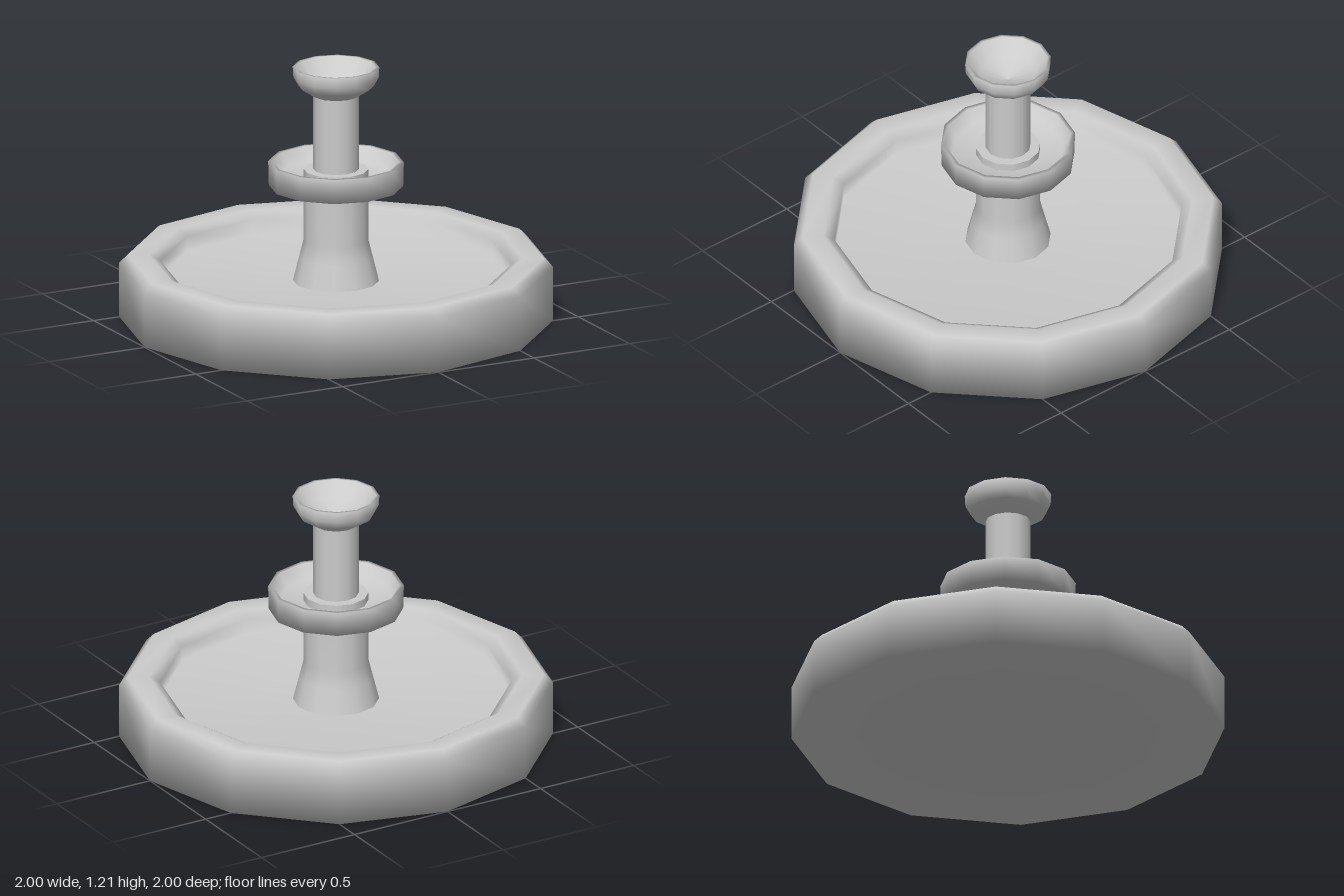
import * as THREE from 'three';

const SIDES = 12;

export function createModel() {
  const group = new THREE.Group();
  group.name = 'fountain';
  const material = new THREE.MeshStandardMaterial({ color: 0xcccccc, side: THREE.DoubleSide });

  // Smooth twelve-sided turned part from [radius, height] pairs
  const turn = (name, profile) => {
    const points = profile.map(([r, y]) => new THREE.Vector2(r, y));
    const mesh = new THREE.Mesh(new THREE.LatheGeometry(points, SIDES), material);
    mesh.name = name;
    group.add(mesh);
  };

  // Wide basin with a chamfered rim and a shallow floor
  turn('basin', [
    [0, 0], [1, 0], [1, 0.26], [0.96, 0.3], [0.86, 0.3],
    [0.81, 0.27], [0.81, 0.2], [0, 0.18],
  ]);

  // Flared lower column, its top standing just above the dish floor
  turn('lowerColumn', [[0.2, 0.18], [0.17, 0.3], [0.15, 0.38], [0.15, 0.72]]);
  turn('lowerColumnTop', [[0.15, 0.72], [0, 0.72]]);

  // Middle dish
  turn('middleDish', [
    [0, 0.64], [0.31, 0.64], [0.313, 0.755], [0.293, 0.755], [0.26, 0.69], [0.1, 0.68],
  ]);

  // Slim upper column
  turn('upperColumn', [[0.105, 0.7], [0.105, 1.08]]);

  // Small cup on top
  turn('topCup', [
    [0.105, 1.075], [0.175, 1.12], [0.197, 1.16], [0.2, 1.21],
    [0.185, 1.21], [0.13, 1.14], [0, 1.1],
  ]);

  return group;
}
